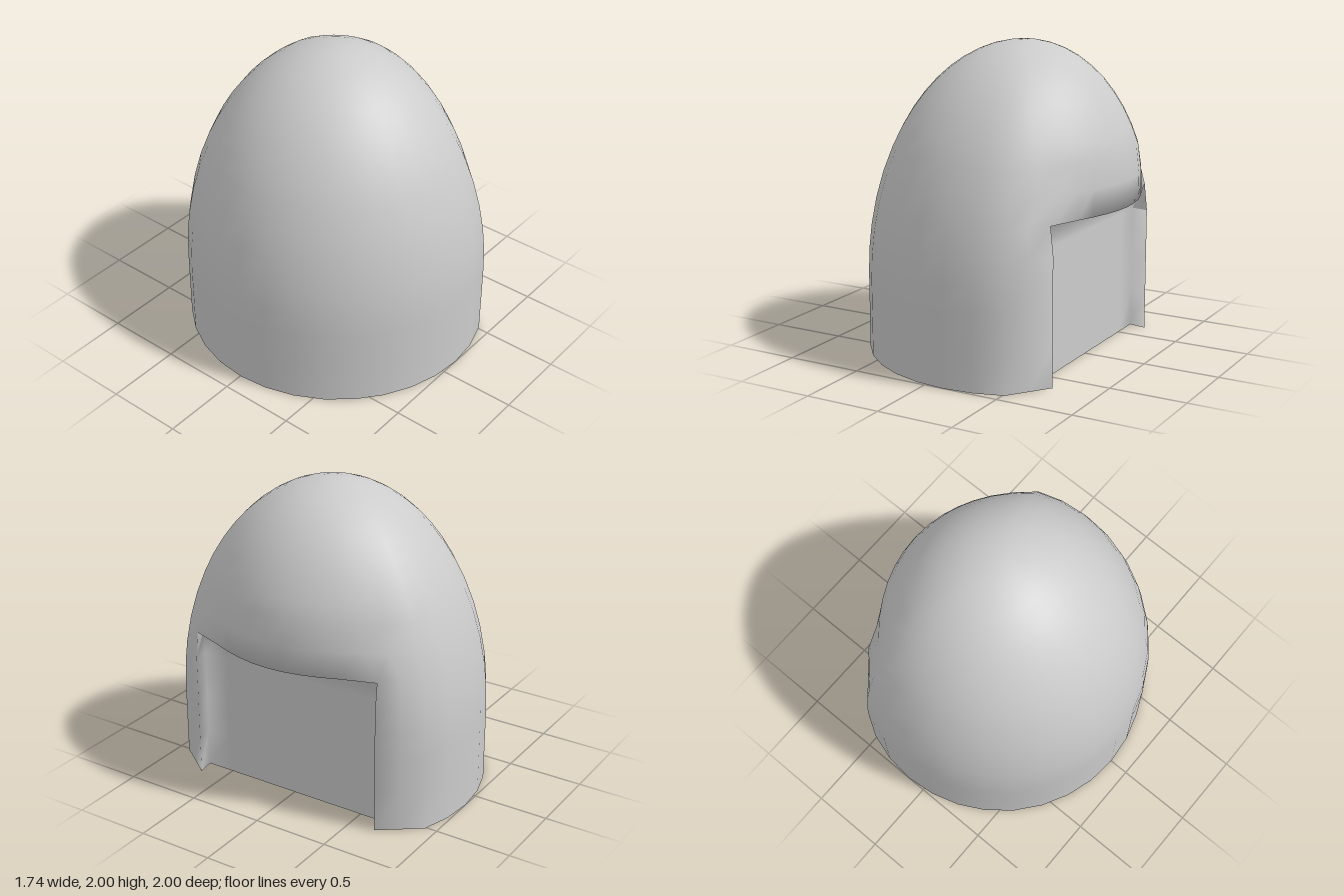
import * as THREE from 'three';
import { mergeVertices } from 'three/addons/utils/BufferGeometryUtils.js';

const CX = 0.13; // axis of the dome
const STEP = Math.PI / 16;
const FRONT = [0, 9, 18, 27, 36, 45.3, 56.25].map(THREE.MathUtils.degToRad);

// Straight sides up to 0.5, then a half ellipsoid
const radius = (y) => (y <= 0.5 ? 1 : Math.sqrt(Math.max(0, 1 - ((y - 0.5) / 1.5) ** 2)));

// Brow over the recess: pressed in most at its rim, fading upwards and sideways
function browRadius(y, angle) {
  const depth = y < 1.335 ? 0.22 - 0.26 * (y - 1) : 0.133 - 0.1 * (y - 1.335);
  return radius(y) * (1 - depth * (1 - (angle / (6 * STEP)) ** 2.7));
}

// Point k (-6..6) on the +x side of a ring
function frontPoint(y, k, recessed) {
  const n = Math.abs(k), s = Math.sign(k), r = radius(y);
  const onSeam = y < 1.001 && n >= 5; // the cheeks run on into the dome
  if (!recessed && !onSeam) {
    const b = browRadius(y, FRONT[n]);
    return [b * Math.cos(FRONT[n]), s * b * Math.sin(FRONT[n])];
  }
  const cornerX = y > 0.82 ? 0.57 - (y - 0.82) * 0.11 : 0.57;
  if (n === 6) { // middle of the flat cheek
    const a = 6 * STEP;
    return [(cornerX + r * Math.cos(a)) / 2, s * (0.67 + r * Math.sin(a)) / 2];
  }
  if (n === 5) return [cornerX, s * 0.67];
  return [0.455, s * 0.69 * n / 4];
}

function ring(y, recessed) {
  const pts = [];
  for (let k = -6; k <= 6; k++) pts.push(frontPoint(y, k, recessed));
  for (let k = 6; k <= 26; k++) {
    const r = radius(y);
    pts.push([r * Math.cos(k * STEP), r * Math.sin(k * STEP)]);
  }
  return pts.map(([x, z]) => [x + CX, y, z]);
}

export function createModel() {
  const group = new THREE.Group();
  const material = new THREE.MeshStandardMaterial({ color: 0xcccccc, side: THREE.DoubleSide });

  // Recessed rings, then a ledge at y = 1, then the dome
  const rings = [0, 0.25, 0.5, 0.66, 0.82, 1].map((y) => ring(y, true));
  rings.push(ring(1, false), ring(1.17, false));
  for (let i = 0; i < 10; i++) {
    const a = THREE.MathUtils.degToRad(33.75 + 5.625 * i);
    rings.push(ring(0.5 + 1.5 * Math.sin(a), false));
  }

  const n = rings[0].length, index = [];
  for (let j = 0; j < rings.length - 1; j++) {
    for (let i = 0; i < n; i++) {
      const a = j * n + i, b = j * n + (i + 1) % n;
      index.push(a, a + n, b, b, a + n, b + n);
    }
  }
  const apex = rings.length * n;
  for (let i = 0; i < n; i++) index.push(apex - n + i, apex, apex - n + (i + 1) % n);

  let shell = new THREE.BufferGeometry();
  shell.setAttribute('position', new THREE.Float32BufferAttribute([...rings.flat(2), CX, 2, 0], 3));
  shell.setIndex(index);
  shell = mergeVertices(shell);
  shell.computeVertexNormals();
  const dome = new THREE.Mesh(shell, material);
  dome.name = 'domeShell';
  group.add(dome);

  // Flat underside
  const outline = new THREE.Shape(rings[0].map(([x, , z]) => new THREE.Vector2(x, z)));
  const floor = new THREE.Mesh(new THREE.ShapeGeometry(outline).rotateX(Math.PI / 2), material);
  floor.name = 'base';
  group.add(floor);

  return group;
}
